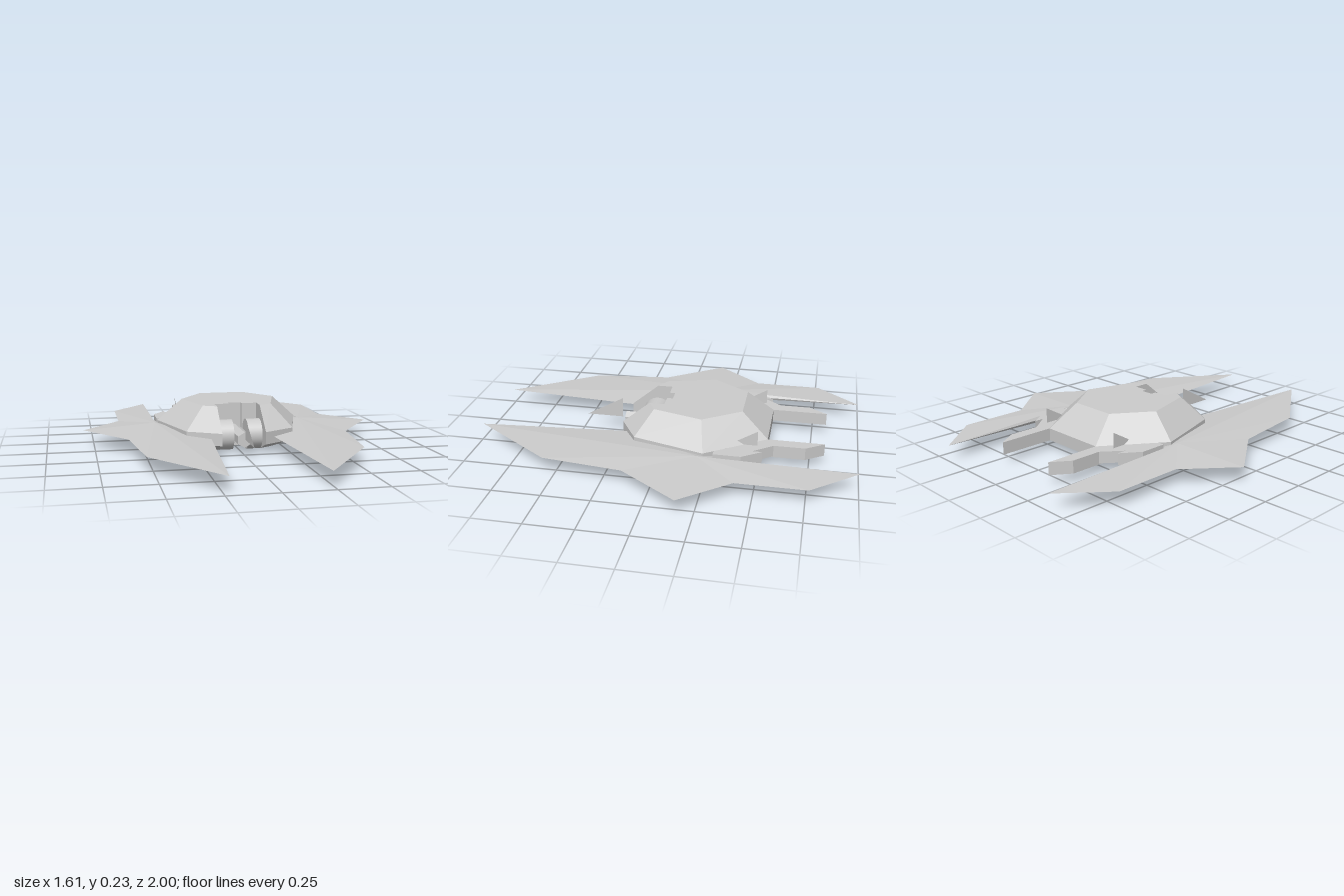
import * as THREE from 'three';

const material = new THREE.MeshStandardMaterial({ color: 0xcccccc, flatShading: true });
const smooth = new THREE.MeshStandardMaterial({ color: 0xcccccc });
const thin = new THREE.MeshStandardMaterial({ color: 0xcccccc, flatShading: true, side: THREE.DoubleSide });
const MID = 0.084; // height of the wing plane

function add(group, name, geometry, mat = material) {
  const mesh = new THREE.Mesh(geometry, mat);
  mesh.name = name;
  group.add(mesh);
  return mesh;
}

function fromTriangles(points, index) {
  const g = new THREE.BufferGeometry();
  g.setAttribute('position', new THREE.Float32BufferAttribute(points.flat(), 3));
  g.setIndex(index);
  const flat = g.toNonIndexed();
  flat.computeVertexNormals();
  return flat;
}

// Hull: stacked seven-sided rings with a notch cut into the front
function hullGeometry() {
  const notch = [[0.035, -0.01], [0.035, 0.02], [0.115, 0.02]];
  const wide = [...notch, [0.115, 0.245], [0.285, 0.145], [0.395, -0.23], [0.18, -0.535]];
  const narrow = [...notch, [0.115, 0.1], [0.185, 0.06], [0.26, -0.2], [0.125, -0.395]];
  const mirrored = half => [...half, ...half.map(([x, z]) => [-x, z]).reverse()];
  const levels = [[0, narrow], [0.05, wide], [0.115, wide], [0.235, narrow]];
  const n = wide.length * 2;
  const points = [], index = [];
  for (const [y, half] of levels) for (const [x, z] of mirrored(half)) points.push([x, y, z]);
  for (let l = 0; l < levels.length - 1; l++) {
    for (let i = 0; i < n; i++) {
      const a = l * n + i, b = l * n + (i + 1) % n;
      index.push(a, b, b + n, a, b + n, a + n);
    }
  }
  // top and bottom caps
  const contour = mirrored(narrow).map(([x, z]) => new THREE.Vector2(x, -z));
  const top = (levels.length - 1) * n;
  for (const [a, b, c] of THREE.ShapeUtils.triangulateShape(contour, [])) {
    index.push(top + a, top + b, top + c, a, c, b);
  }
  return fromTriangles(points, index);
}

// Wing: sharp outline rising to a shallow peak above and below
function wingGeometry(side) {
  const outline = [
    [0.23, 0.995], [0.535, 0.56], [0.585, 0.14], [0.805, -0.165], [0.6, -0.41],
    [0.6, -0.765], [0.4, -1], [0.4, -0.41], [0.3, -0.2], [0.165, 0.2],
  ];
  const n = outline.length;
  const points = outline.map(([x, z]) => [side * x, MID, z]);
  points.push([side * 0.41, MID + 0.022, -0.2], [side * 0.41, MID - 0.022, -0.2]);
  const index = [];
  for (let i = 0; i < n; i++) {
    const j = (i + 1) % n;
    const [a, b] = side > 0 ? [i, j] : [j, i];
    index.push(a, b, n, b, a, n + 1);
  }
  return fromTriangles(points, index);
}

// Upright slab from a plan outline of [x, z] points
function slabGeometry(plan, side, y0, y1) {
  const shape = new THREE.Shape(plan.map(([x, z]) => new THREE.Vector2(side * x, -z)));
  const g = new THREE.ExtrudeGeometry(shape, { depth: y1 - y0, bevelEnabled: false });
  return g.rotateX(-Math.PI / 2).translate(0, y0, 0);
}

// Thin upright triangle pointing forward
function finGeometry(x, y0, y1, back, tip) {
  return fromTriangles([[x, y0, tip], [x, y1, back], [x, y0, back]], [0, 1, 2]);
}

export function createModel() {
  const model = new THREE.Group();
  model.name = 'spacecraft';
  add(model, 'hull', hullGeometry());

  // Hexagonal nose barrel and the fin ahead of it
  const barrel = new THREE.CylinderGeometry(0.04, 0.04, 0.265, 6).rotateX(Math.PI / 2);
  add(model, 'noseBarrel', barrel).position.set(0, 0.08, 0.1225);
  add(model, 'noseFin', finGeometry(0, 0.085, 0.195, 0.275, 0.475), thin);

  for (const side of [1, -1]) {
    const label = side > 0 ? 'left' : 'right';
    add(model, label + 'Wing', wingGeometry(side));

    // Drum beside the barrel
    const drum = new THREE.CylinderGeometry(0.08, 0.08, 0.075, 32).rotateZ(Math.PI / 2);
    add(model, label + 'Drum', drum, smooth).position.set(side * 0.0755, 0.083, 0.1);

    // Three stepped rear thrusters with slanted ends: inner x, outer x, inner z, outer z, bottom, top
    const thrusters = [
      [0.18, 0.245, -0.825, -0.73, 0.05, 0.115],
      [0.245, 0.323, -0.57, -0.47, 0.055, 0.115],
      [0.323, 0.393, -0.52, -0.42, 0.055, 0.115],
    ];
    thrusters.forEach(([xi, xo, zi, zo, y0, y1], i) => {
      const start = -0.4 + i * 0.06;
      const plan = [[xi, start], [xo, start], [xo, zo], [xi, zi]];
      add(model, `${label}Thruster${i + 1}`, slabGeometry(plan, side, y0, y1));
    });
    add(model, label + 'RearFin', finGeometry(side * 0.26, 0.115, 0.195, -0.49, -0.355), thin);
  }
  return model;
}
